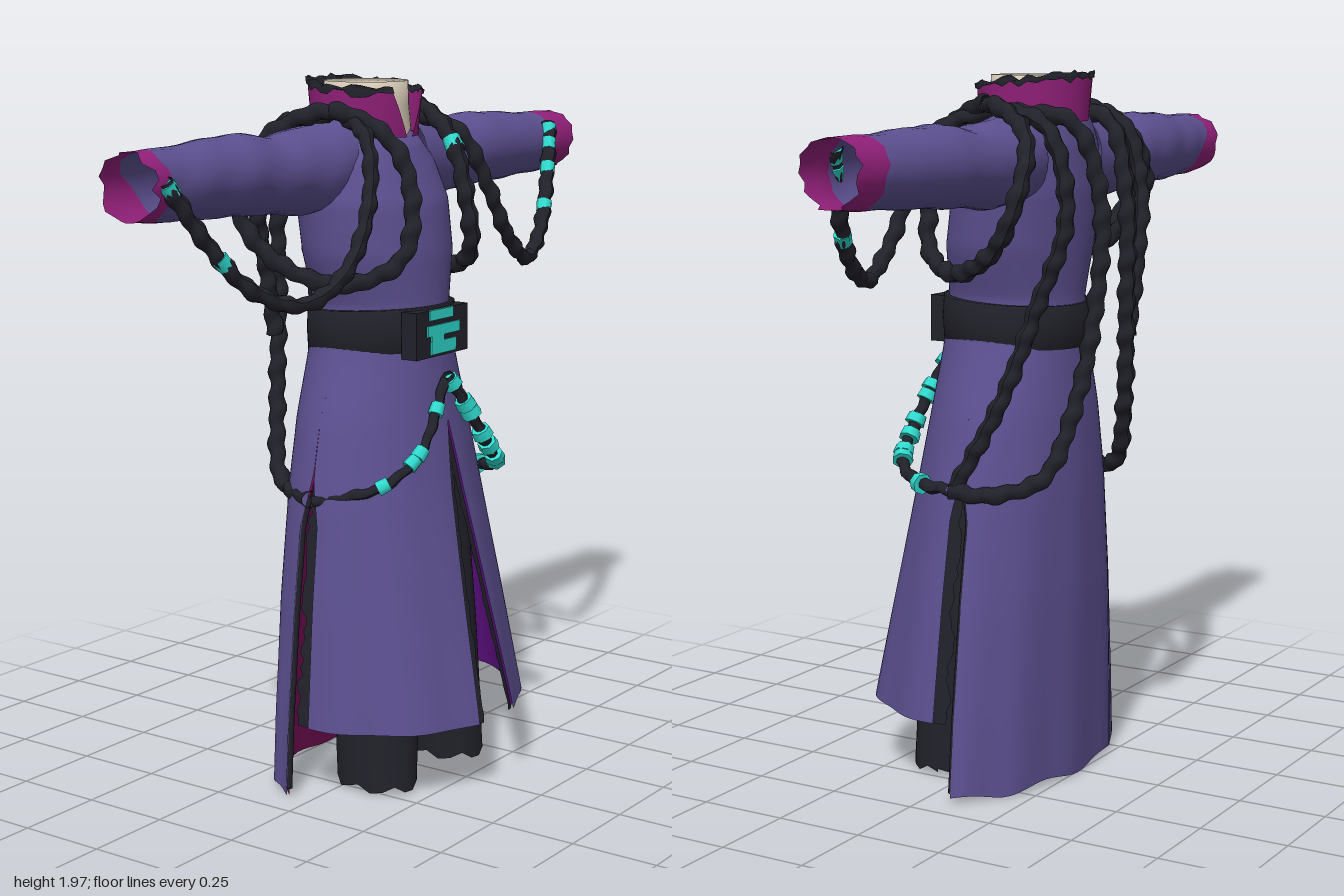
import * as THREE from 'three';
import { mergeVertices } from 'three/addons/utils/BufferGeometryUtils.js';

const mat = (name, color) => {
  const m = new THREE.MeshStandardMaterial({ color, side: THREE.DoubleSide });
  m.name = name;
  return m;
};
const M = {
  cloth: mat('purple cloth', 0x5c5090),
  magenta: mat('magenta cuff', 0x92207a),
  lining: mat('dark magenta lining', 0x6c0c4e),
  violet: mat('violet front lining', 0x5c0f80),
  dark: mat('black leather', 0x21212a),
  teal: mat('teal ornament', 0x30dcd0),
  cream: mat('cream neck', 0xd9cdb9),
};

let seed = 7;
const rnd = () => (seed = (seed * 16807) % 2147483647) / 2147483647 - 0.5;

// Linear lookup in rows of [key, a, b, ...]
function look(rows, k) {
  let i = 0;
  while (i < rows.length - 2 && k > rows[i + 1][0]) i++;
  const p = rows[i], q = rows[i + 1];
  const t = THREE.MathUtils.clamp((k - p[0]) / (q[0] - p[0]), 0, 1);
  return p.slice(1).map((v, j) => v + (q[j + 1] - v) * t);
}

// Surface from a function of u, v; skip() leaves holes
function grid(fn, nu, nv, skip) {
  const pos = [], idx = [];
  for (let j = 0; j <= nv; j++) for (let i = 0; i <= nu; i++) pos.push(...fn(i / nu, j / nv));
  for (let j = 0; j < nv; j++) for (let i = 0; i < nu; i++) {
    if (skip && skip(...fn((i + 0.5) / nu, (j + 0.5) / nv))) continue;
    const a = j * (nu + 1) + i, b = a + 1, c = a + nu + 1, d = c + 1;
    idx.push(a, b, d, a, d, c);
  }
  let g = new THREE.BufferGeometry();
  g.setAttribute('position', new THREE.Float32BufferAttribute(pos, 3));
  g.setIndex(idx);
  g = mergeVertices(g, 1e-5);
  g.computeVertexNormals();
  return g;
}

const CX = -0.015, TAU = Math.PI * 2;
// Height, half width, side z, front depth, back depth
const BODY = [
  [0.0, 0.42, -0.045, 0.43, 0.21], [0.22, 0.403, -0.045, 0.41, 0.212], [0.55, 0.365, -0.045, 0.335, 0.215],
  [0.85, 0.32, -0.045, 0.27, 0.21], [1.05, 0.275, -0.045, 0.235, 0.2], [1.23, 0.215, -0.04, 0.205, 0.19],
  [1.36, 0.19, -0.04, 0.195, 0.185], [1.5, 0.235, -0.05, 0.2, 0.19], [1.65, 0.25, -0.07, 0.195, 0.18],
  [1.78, 0.235, -0.09, 0.17, 0.155], [1.86, 0.185, -0.1, 0.15, 0.13], [1.9, 0.13, -0.1, 0.11, 0.11],
];
// Point on the body at an angle from the front, at height y
function body(a, y, inset = 0) {
  const [rx, zc, rf, rb] = look(BODY, y);
  const c = Math.cos(a), s = Math.sin(a), low = Math.max(0, 1 - y / 1.1);
  const fold = 1 + 0.018 * Math.sin(11 * Math.abs(a)) * low;
  return [CX + 0.014 * s * s * low + (rx * fold - inset) * s, y, zc + ((c > 0 ? rf : rb) * fold - inset) * c];
}

export function createModel() {
  const root = new THREE.Group();
  const add = (name, geo, m) => {
    const mesh = new THREE.Mesh(geo, m);
    mesh.name = name;
    root.add(mesh);
    return mesh;
  };
  const curve = (pts, closed = false) =>
    new THREE.CatmullRomCurve3(pts.map(p => new THREE.Vector3(...p)), closed);

  // Lumpy twisted rope
  function rope(name, pts, r = 0.023, closed = false) {
    const c = curve(pts, closed), n = Math.ceil(c.getLength() / 0.012), k = 8;
    const g = new THREE.TubeGeometry(c, n, r, k, closed);
    const p = g.attributes.position, v = new THREE.Vector3();
    for (let i = 0; i <= n; i++) {
      const o = c.getPointAt(i / n);
      for (let j = 0; j <= k; j++) {
        const s = 1 + 0.16 * Math.sin(i * 1.1 + (j / k) * TAU) + 0.09 * Math.sin(i * 0.7);
        v.fromBufferAttribute(p, i * (k + 1) + j).sub(o).multiplyScalar(s).add(o);
        p.setXYZ(i * (k + 1) + j, v.x, v.y, v.z);
      }
    }
    g.computeVertexNormals();
    add(name, g, M.dark);
    return c;
  }
  // Teal wraps on a rope
  function beads(name, c, ts, r = 0.026, len = 0.035) {
    for (const t of ts) {
      const b = add(name, new THREE.CylinderGeometry(r, r * 0.9, len, 7), M.teal);
      b.position.copy(c.getPointAt(t));
      b.quaternion.setFromUnitVectors(new THREE.Vector3(0, 1, 0), c.getTangentAt(t));
    }
  }

  // Torso with open armholes and a neckline that dips at the front
  add('torso', grid((u, v) => {
    const p = body(u * TAU, 1.2 + v * 0.7);
    p[1] -= 0.04 * (1 + Math.cos(u * TAU)) * Math.max(0, (v - 0.6) / 0.4);
    return p;
  }, 64, 36, (x, y, z) =>
    Math.abs(x - CX) > 0.1 && ((y - 1.75) / 0.105) ** 2 + ((z + 0.11) / 0.1) ** 2 < 1), M.cloth);

  // Skirt: two front panels and one back panel, each lined
  const slit = y => 0.085 * Math.max(0, (1.03 - y) / 0.81) ** 0.75;
  const gap = y => 0.09 * THREE.MathUtils.clamp((0.9 - y) / 0.12, 0, 1);
  const frontAngle = (y, u) => {
    const a0 = Math.asin(slit(y) / look(BODY, y)[0]);
    return a0 + u * (Math.PI / 2 - gap(y) - a0);
  };
  const backEdge = y => Math.PI / 2 + gap(y) * 1.5;
  for (const [front, back, inset, label] of [[M.cloth, M.cloth, 0, 'Panel'], [M.violet, M.lining, 0.01, 'Lining']]) {
    for (const s of [1, -1]) {
      add('front' + label, grid((u, v) => {
        const y = 0.215 + v * 1.03;
        return body(s * frontAngle(y, u), y, inset);
      }, 20, 26), front);
    }
    add('back' + label, grid((u, v) => {
      const y0 = 0.018 + 0.008 * Math.sin(u * 23), y = y0 + v * (1.245 - y0), a = backEdge(y);
      return body(a + u * 2 * (Math.PI - a), y, inset);
    }, 40, 30), back);
  }
  // Ragged dark trim along the slits
  for (const s of [1, -1]) {
    const strip = (name, top, low, edge, width) => add(name, grid((u, v) => {
      const y = low + v * (top - low);
      return body(s * (edge(y) + u * width(y)), y, 0.006);
    }, 1, 36), M.dark);
    strip('frontTrim', 1.03, 0.215, y => frontAngle(y, 0),
      y => -Math.min(0.022 + rnd() * 0.008, slit(y)) / look(BODY, y)[0]);
    strip('sideTrim', 0.95, 0.215, y => frontAngle(y, 1) - 0.02, y => 0.02 + gap(y) * (1.25 + rnd()));
    const pts = [];
    for (let y = 0.85; y > 0.02; y -= 0.082) pts.push(body(s * backEdge(y), y, 0.008));
    add('backTrim', new THREE.TubeGeometry(curve(pts), 30, 0.009, 5), M.dark);
  }

  // Trouser legs
  for (const s of [1, -1]) {
    add('leg', grid((u, v) => {
      const y = 0.02 + v * 1.0 + (v === 0 ? 0.012 * Math.sin(u * 40) : 0), a = u * TAU;
      const x = CX + s * (0.17 - 0.065 * v), r = 0.092 + 0.01 * Math.sin(v * Math.PI);
      return [x + r * Math.cos(a), y, 0.07 - 0.05 * v + (r + 0.03) * Math.sin(a)];
    }, 20, 14), M.dark);
  }

  // Belt, buckle and clasp bars
  add('belt', grid((u, v) => {
    const i = Math.round(v * 4), [x, , z] = body(u * TAU, 1.3, [0.01, -0.009, -0.012, -0.009, 0.01][i]);
    return [x, 1.232 + 0.12 * [0, 0, 0.5, 1, 1][i] + 0.01 * Math.cos(u * TAU), z];
  }, 48, 4), M.dark);
  const box = (name, m, w, h, d, x, y, z) => add(name, new THREE.BoxGeometry(w, h, d), m).position.set(x, y, z);
  box('buckle', M.dark, 0.25, 0.13, 0.05, -0.025, 1.29, 0.153);
  for (const [w, h, x, y] of [[0.115, 0.028, -0.034, 1.341], [0.155, 0.03, -0.022, 1.298], [0.06, 0.03, -0.05, 1.276], [0.12, 0.036, -0.022, 1.25]])
    box('buckleBar', M.teal, w, h, 0.006, x, y, 0.179);

  // Sleeves and torn cuffs; rows of x, centre y, radius y, centre z, radius z
  const SLEEVE = [[0.15, 1.745, 0.122, -0.11, 0.12], [0.3, 1.73, 0.115, -0.115, 0.12], [0.42, 1.73, 0.103, -0.12, 0.116],
    [0.55, 1.742, 0.108, -0.12, 0.116], [0.85, 1.74, 0.092, -0.105, 0.095], [1.0, 1.745, 0.088, -0.1, 0.088]];
  // The right cuff reaches further up the lower back of the arm
  for (const [s, front, back] of [[1, 0.86, 0.88], [-1, 0.925, 0.83]]) {
    const tube = (x, a) => {
      const [cy, ry, cz, rz] = look(SLEEVE, x);
      const w = 1 + 0.02 * Math.sin(x * 34 + 2 * a);
      return [s * x, cy + ry * w * Math.sin(a), cz + rz * w * Math.cos(a)];
    };
    const tear = Array.from({ length: 25 }, () => rnd());
    tear[24] = tear[0];
    const at = u => tear[Math.round(u * 24)];
    const start = u => front + (back - front) * Math.max(0, Math.cos((u - 0.625) * TAU)) ** 2 + 0.02 * at(u);
    add('sleeve', grid((u, v) => tube(0.15 + v * (start(u) - 0.15), u * TAU), 24, 28), M.cloth);
    add('cuff', grid((u, v) => tube(start(u) + v * (0.98 + 0.04 * at(u) - start(u)), u * TAU), 24, 6), M.magenta);
  }

  // Collar, open at the front, with a ragged dark rim
  const collar = (u, v, out = 0) => {
    const half = 0.08 + 0.38 * v, a = half + u * (TAU - 2 * half), r = 0.143 + 0.01 * v + out;
    return [CX + r * Math.sin(a), 1.815 + 0.025 * (1 - Math.cos(a)) / 2 + v * 0.12, -0.09 + r * 1.05 * Math.cos(a)];
  };
  add('collar', grid(collar, 36, 6), M.magenta);
  add('collarRim', grid((u, v) => {
    const i = Math.round(v * 3), p = collar(u, 1, [0.004, 0.006, -0.004, -0.012][i]);
    p[1] += [-0.008, 0.008, 0.01, -0.012][i] + rnd() * 0.02;
    return p;
  }, 36, 3), M.dark);

  // Neck with a dark hollow, lower at the front
  const NECK = [[0, 0.124, 1.85], [0.25, 0.118, 1.9], [0.5, 0.116, 1.965], [0.75, 0.09, 1.95], [1, 0.06, 1.9]];
  add('neck', grid((u, v) => {
    const [r, y] = look(NECK, v), c = Math.cos(u * TAU);
    return [CX + r * Math.sin(u * TAU), v === 0 ? y - 0.035 * Math.max(0, c) ** 8 : y, -0.085 + r * c];
  }, 28, 4), M.cream);
  const hollow = add('neckHollow', new THREE.CircleGeometry(0.066, 20), M.dark);
  hollow.rotation.x = -Math.PI / 2;
  hollow.position.set(CX, 1.912, -0.085);

  // Rope rings around the shoulders
  for (const s of [1, -1]) {
    const x = v => CX + s * v;
    const ring = rope('shoulderRing', [[x(0.2), 1.89, -0.06], [x(0.14), 1.81, 0.1], [x(0.13), 1.65, 0.16], [x(0.17), 1.5, 0.15],
      [x(0.26), 1.435, 0.02], [x(0.34), 1.5, -0.15], [x(0.37), 1.63, -0.24], [x(0.29), 1.8, -0.23]], 0.024, true);
    if (s > 0) beads('ringWrap', ring, [0.145], 0.029);
  }

  // Ropes draped from the shoulders to the cuffs
  const leftDrape = rope('leftDrape', [[0.15, 1.87, -0.05], [0.2, 1.82, 0.08], [0.27, 1.67, 0.13], [0.36, 1.52, 0.14], [0.5, 1.435, 0.12],
    [0.64, 1.5, 0.08], [0.76, 1.65, 0.03], [0.85, 1.8, -0.02]], 0.021);
  beads('drapeWrap', leftDrape, [0.76, 0.87, 0.94, 0.98], 0.024);
  const rightDrape = rope('rightDrape', [[-0.17, 1.88, -0.05], [-0.24, 1.82, 0.08], [-0.3, 1.67, 0.13], [-0.41, 1.5, 0.14], [-0.57, 1.425, 0.12],
    [-0.71, 1.47, 0.07], [-0.82, 1.58, 0.03], [-0.95, 1.76, -0.01]], 0.021);
  beads('drapeWrap', rightDrape, [0.79, 0.98], 0.024);

  // Ropes hanging down the back to the hips
  rope('leftSideRope', [[0.17, 1.88, -0.08], [0.2, 1.83, -0.25], [0.2, 1.6, -0.31], [0.22, 1.35, -0.23], [0.27, 1.1, -0.15], [0.31, 0.86, -0.03]]);
  rope('leftBackRope', [[0.13, 1.87, -0.1], [0.08, 1.84, -0.26], [0.05, 1.65, -0.33], [0.08, 1.35, -0.335], [0.15, 1.05, -0.3],
    [0.22, 0.89, -0.25], [0.3, 0.845, -0.12], [0.32, 0.855, -0.02]]);
  rope('rightSideRope', [[-0.19, 1.88, -0.08], [-0.21, 1.83, -0.26], [-0.2, 1.65, -0.325], [-0.15, 1.45, -0.34], [-0.12, 1.25, -0.33]]);
  rope('rightBackRope', [[-0.14, 1.87, -0.1], [-0.11, 1.84, -0.27], [-0.09, 1.65, -0.335], [-0.09, 1.35, -0.34], [-0.14, 1.05, -0.31],
    [-0.22, 0.87, -0.24], [-0.33, 0.84, -0.05]]);

  // Beaded chains over the front of the skirt
  const leftChain = rope('leftChain', [[-0.03, 1.17, 0.195], [0.04, 1.08, 0.215], [0.11, 0.97, 0.235], [0.2, 0.89, 0.21], [0.28, 0.855, 0.1], [0.32, 0.855, -0.02]], 0.017);
  beads('chainBead', leftChain, [0.04, 0.17, 0.22, 0.34, 0.42, 0.51, 0.55, 0.8], 0.03, 0.028);
  const rightChain = rope('rightChain', [[-0.03, 1.16, 0.19], [-0.09, 1.07, 0.2], [-0.17, 0.97, 0.2], [-0.26, 0.89, 0.14], [-0.33, 0.84, -0.04]], 0.014);
  beads('chainBead', rightChain, [0.16, 0.4, 0.46, 0.64], 0.022, 0.034);

  return root;
}
